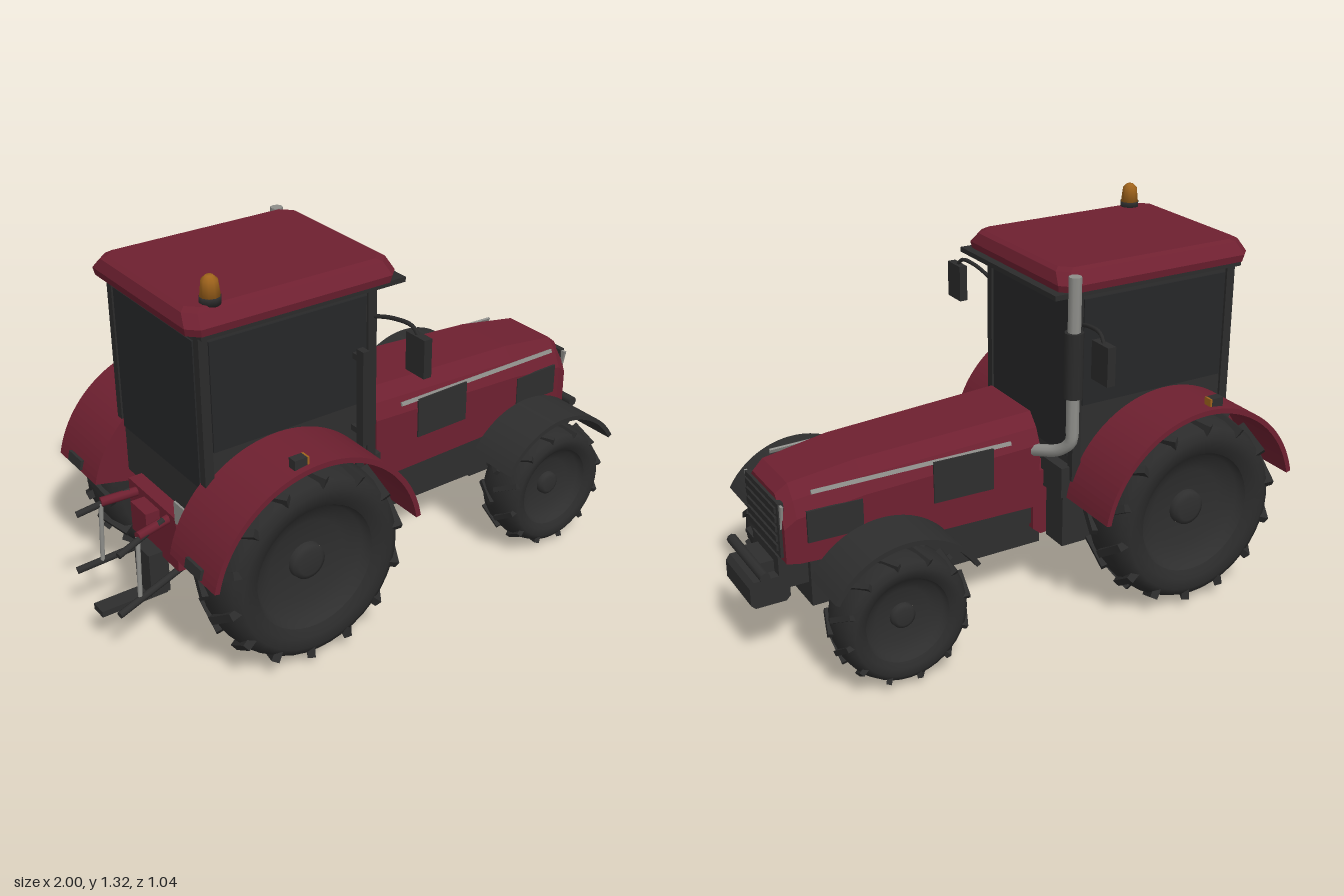
import * as THREE from 'three';

const paint = (name, color) => {
  const m = new THREE.MeshStandardMaterial({ color });
  m.name = name;
  return m;
};
const red = paint('red paint', 0x6e2030);
const rubber = paint('black rubber', 0x2b2b2b);
const trim = paint('dark trim', 0x2e2e2e);
const glass = paint('dark glass', 0x262728);
const steel = paint('pale steel', 0x8e8e8a);
const orange = paint('orange lamp', 0xa0641c);

export function createModel() {
  const model = new THREE.Group();
  model.name = 'tractor';

  const add = (name, geo, mat, parent = model) => {
    const m = new THREE.Mesh(geo, mat);
    m.name = name;
    parent.add(m);
    return m;
  };
  // box from its limits along x, y and z
  const box = (name, mat, x0, x1, y0, y1, z0, z1) => {
    const m = add(name, new THREE.BoxGeometry(x1 - x0, y1 - y0, z1 - z0), mat);
    m.position.set((x0 + x1) / 2, (y0 + y1) / 2, (z0 + z1) / 2);
    return m;
  };
  // the same box on both sides
  const pair = (name, mat, x0, x1, y0, y1, z0, z1) => {
    box(name + 'Left', mat, x0, x1, y0, y1, z0, z1);
    box(name + 'Right', mat, x0, x1, y0, y1, -z1, -z0);
  };
  // round bar between two points
  const bar = (name, mat, a, b, r, sides = 8) => {
    const p = new THREE.Vector3(...a), q = new THREE.Vector3(...b);
    const m = add(name, new THREE.CylinderGeometry(r, r, p.distanceTo(q), sides), mat);
    m.position.copy(p).add(q).multiplyScalar(0.5);
    m.quaternion.setFromUnitVectors(new THREE.Vector3(0, 1, 0), q.sub(p).normalize());
  };
  const tube = (name, mat, pts, r, sides = 8) => add(name, new THREE.TubeGeometry(
    new THREE.CatmullRomCurve3(pts.map(p => new THREE.Vector3(...p))), 14, r, sides), mat);
  // flat-shaded solid through matching rings of points, capped at both ends
  const loft = (rings) => {
    const n = rings[0].length, tris = [];
    for (let i = 0; i + 1 < rings.length; i++) for (let j = 0; j < n; j++) {
      const k = (j + 1) % n, a = rings[i][j], b = rings[i][k], c = rings[i + 1][k], d = rings[i + 1][j];
      tris.push([a, b, c], [a, c, d]);
    }
    const first = rings[0], last = rings[rings.length - 1];
    for (let j = 1; j + 1 < n; j++) tris.push([first[0], first[j + 1], first[j]], [last[0], last[j], last[j + 1]]);
    const mid = new THREE.Vector3(...first[0]);
    const v = (p) => new THREE.Vector3(...p).sub(mid);
    const volume = tris.reduce((s, [a, b, c]) => s + v(a).dot(v(b).cross(v(c))), 0);
    if (volume < 0) tris.forEach(t => t.reverse());
    const g = new THREE.BufferGeometry();
    g.setAttribute('position', new THREE.Float32BufferAttribute(tris.flat(2), 3));
    g.computeVertexNormals();
    return g;
  };
  // extruded side-view shape between two z values
  const slab = (name, mat, shape, z0, z1) => {
    const g = new THREE.ExtrudeGeometry(shape, { depth: z1 - z0, bevelEnabled: false, curveSegments: 24 });
    add(name, g.translate(0, 0, z0), mat);
  };
  const rad = THREE.MathUtils.degToRad;
  const arch = (cx, cy, R, r, a0, a1) => {
    const s = new THREE.Shape();
    s.absarc(cx, cy, R, rad(a0), rad(a1), false);
    s.absarc(cx, cy, r, rad(a1), rad(a0), true);
    return s;
  };

  // bonnet
  const section = ([x, w, t, b]) => {
    const half = [[w, b], [w, t - 0.1], [w - 0.025, t - 0.045], [w - 0.065, t]];
    return [...half.map(([z, y]) => [x, y, z]), ...half.reverse().map(([z, y]) => [x, y, -z])];
  };
  add('bonnet', loft([[-0.02, 0.195, 0.70, 0.37], [0.62, 0.182, 0.67, 0.375],
    [0.85, 0.17, 0.637, 0.38], [0.89, 0.16, 0.605, 0.385]].map(section)), red);
  box('grille', trim, 0.88, 0.9, 0.4, 0.59, -0.14, 0.14);
  for (let i = 0; i < 5; i++) box('grilleSlat', rubber, 0.895, 0.907, 0.42 + i * 0.033, 0.44 + i * 0.033, -0.125, 0.125);
  for (const s of [1, -1]) {
    const lamp = [[0.5, 0.14], [0.585, 0.158], [0.585, 0.125]];
    add('headlight', loft([0.887, 0.896].map(x => lamp.map(([y, z]) => [x, y, z * s]))), steel);
    // side vents and bright strip
    for (const [name, mat, x0, x1, y0, y1, z] of [['sideVent', trim, 0.16, 0.38, 0.48, 0.628, 0.19],
      ['frontVent', trim, 0.63, 0.82, 0.45, 0.56, 0.178], ['sideStrip', steel, 0.09, 0.8, 0.618, 0.632, 0.181]]) {
      const m = box(name, mat, x0, x1, y0, y1, s * z - 0.004, s * z + 0.004);
      m.rotation.y = s * 0.025;
      if (name === 'sideStrip') m.rotation.x = -s * 0.4;
    }
  }

  // chassis, front axle and front weight
  box('chassis', trim, -0.06, 0.8, 0.19, 0.38, -0.13, 0.13);
  pair('engineSkirt', trim, 0, 0.42, 0.3, 0.375, 0.13, 0.175);
  box('frontSupport', trim, 0.7, 0.9, 0.27, 0.39, -0.11, 0.11);
  box('frontAxle', trim, 0.55, 0.66, 0.2, 0.28, -0.3, 0.3);
  box('axleGuard', trim, 0.5, 0.72, 0.15, 0.2, -0.09, 0.09);
  const weight = [[0.865, 0.24], [0.88, 0.225], [0.985, 0.225], [1, 0.24], [1, 0.3], [0.985, 0.32], [0.88, 0.32], [0.865, 0.305]];
  add('frontWeight', loft([-0.11, 0.11].map(z => weight.map(([x, y]) => [x, y, z]))), trim);
  bar('frontBar', trim, [0.96, 0.35, -0.15], [0.96, 0.35, 0.15], 0.018);
  box('frontBarBracket', trim, 0.9, 0.96, 0.31, 0.36, -0.07, 0.07);

  // rear body and running boards
  const body = [[-0.78, 0.28], [-0.05, 0.235], [-0.02, 0.26], [-0.02, 0.48], [-0.78, 0.48]];
  add('rearBody', loft([-0.155, 0.155].map(z => body.map(([x, y]) => [x, y, z]))), red);
  bar('rearAxle', trim, [-0.47, 0.35, -0.35], [-0.47, 0.35, 0.35], 0.07, 16);
  pair('stepBox', trim, -0.2, -0.07, 0.23, 0.43, 0.16, 0.265);
  pair('cabMount', trim, -0.16, -0.06, 0.42, 0.53, 0.14, 0.27);

  // cab, its lower edge following the rear wheel arch
  const cab = new THREE.Shape();
  cab.moveTo(-0.1, 1.15);
  cab.lineTo(-0.73, 1.15);
  cab.absarc(-0.47, 0.35, 0.38, rad(133.2), rad(13.2), true);
  slab('cab', trim, cab, -0.275, 0.275);
  box('cabBase', trim, -0.73, -0.1, 0.45, 0.68, -0.25, 0.25);
  box('windscreen', glass, -0.1, -0.094, 0.56, 1.12, -0.245, 0.245);
  box('rearWindow', glass, -0.736, -0.73, 0.62, 1.12, -0.245, 0.245);
  pair('sideWindow', glass, -0.7, -0.13, 0.75, 1.12, 0.275, 0.281);
  pair('frontPillar', rubber, -0.125, -0.092, 0.48, 1.15, 0.255, 0.284);
  pair('rearPillar', rubber, -0.737, -0.705, 0.64, 1.15, 0.255, 0.284);

  // roof
  const roofRing = (y, ix, iz) => {
    const x0 = -0.78 + ix, x1 = -0.025 - ix, z = 0.32 - iz, c = 0.035;
    return [[x0 + c, z], [x1 - c, z], [x1, z - c], [x1, c - z], [x1 - c, -z], [x0 + c, -z], [x0, c - z], [x0, z - c]]
      .map(([px, pz]) => [px, y, pz]);
  };
  add('roof', loft([roofRing(1.16, 0.005, 0.005), roofRing(1.185, 0, 0), roofRing(1.222, 0.012, 0.035), roofRing(1.232, 0.03, 0.05)]), red);
  box('roofTrim', rubber, -0.74, 0, 1.145, 1.162, -0.31, 0.31);

  // warning beacon
  const spin = (name, mat, pts, x, z) => add(name, new THREE.LatheGeometry(
    pts.map(p => new THREE.Vector2(...p)), 10), mat).position.set(x, 0, z);
  spin('beaconBase', rubber, [[0, 1.225], [0.034, 1.225], [0.034, 1.25], [0, 1.25]], -0.67, 0.25);
  spin('beacon', orange, [[0, 1.25], [0.032, 1.25], [0.026, 1.3], [0.012, 1.314], [0, 1.314]], -0.67, 0.25);

  // exhaust
  bar('exhaustStack', steel, [-0.065, 0.68, -0.322], [-0.065, 1.22, -0.322], 0.022);
  bar('muffler', rubber, [-0.065, 0.81, -0.322], [-0.065, 1.035, -0.322], 0.032, 12);
  tube('exhaustElbow', steel, [[-0.065, 0.7, -0.322], [-0.063, 0.65, -0.318], [-0.045, 0.61, -0.28], [0, 0.58, -0.18]], 0.021);

  // mirrors, hand rail, fenders and lamps
  for (const s of [1, -1]) {
    tube('mirrorArm', rubber, [[-0.1, 1.04, 0.27 * s], [-0.09, 1.065, 0.37 * s], [-0.08, 1.065, 0.45 * s], [-0.075, 1.03, 0.48 * s]], 0.007, 6);
    const a = s > 0 ? (z0, z1) => [z0, z1] : (z0, z1) => [-z1, -z0];
    box('mirror', rubber, -0.09, -0.06, 0.915, 1.045, ...a(0.43, 0.52));
    slab('rearFender', red, arch(-0.47, 0.35, 0.395, 0.377, 10, 168), ...a(0.25, 0.515));
    slab('rearFenderInnerWall', red, arch(-0.47, 0.35, 0.385, 0.17, 5, 168), ...a(0.25, 0.262));
    slab('frontFender', trim, arch(0.605, 0.235, 0.288, 0.272, 30, 150), ...a(0.265, 0.455));
    box('fenderBracket', trim, 0.58, 0.63, 0.27, 0.51, ...a(0.25, 0.27));
    box('markerLamp', trim, -0.55, -0.505, 0.735, 0.77, ...a(0.46, 0.492));
    box('markerLens', orange, -0.505, -0.498, 0.742, 0.77, ...a(0.46, 0.492));
    const tail = box('tailLamp', trim, -0.86, -0.84, 0.44, 0.475, ...a(0.35, 0.44));
    tail.rotation.z = -0.2;
  }
  box('handRail', rubber, -0.19, -0.165, 0.63, 0.965, 0.31, 0.345);
  for (const y of [0.66, 0.92]) box('railStandoff', rubber, -0.185, -0.17, y, y + 0.02, 0.27, 0.32);

  // rear linkage and drawbar
  for (const s of [1, -1]) {
    bar('upperLift', trim, [-0.98, 0.415, 0.145 * s], [-0.8, 0.46, 0.11 * s], 0.011);
    bar('liftArm', red, [-0.9, 0.445, 0.125 * s], [-0.76, 0.455, 0.1 * s], 0.016);
    bar('lowerArm', trim, [-0.995, 0.2, 0.15 * s], [-0.74, 0.25, 0.1 * s], 0.012);
    bar('liftRod', steel, [-0.91, 0.22, 0.13 * s], [-0.9, 0.44, 0.125 * s], 0.008);
  }
  box('topLinkBracket', red, -0.83, -0.77, 0.4, 0.46, -0.05, 0.05);
  box('drawbar', trim, -1, -0.76, 0.12, 0.142, -0.03, 0.03);
  box('drawbarBracket', trim, -0.83, -0.76, 0.14, 0.3, -0.05, 0.05);
  box('rearPlate', steel, -0.785, -0.778, 0.47, 0.55, 0.16, 0.24);

  // wheels: tyre and dished rim in one turned profile, with slanted tread bars
  const wheel = (name, x, z, R, w, lugs) => {
    const g = new THREE.Group(), h = w / 2;
    g.name = name;
    g.position.set(x, R, z);
    g.rotation.y = z < 0 ? Math.PI : 0;
    model.add(g);
    const turned = (part, pts, mat) => add(part, new THREE.LatheGeometry(
      pts.map(([r, y]) => new THREE.Vector2(r * R, y * h)), 40).rotateX(Math.PI / 2), mat, g);
    turned('tyre', [[0.3, -0.8], [0.62, -0.85], [0.8, -0.98], [0.88, -0.85], [0.935, -0.5], [0.955, 0],
      [0.935, 0.5], [0.88, 0.85], [0.8, 0.98], [0.7, 0.94], [0.62, 0.8]], rubber);
    turned('rim', [[0.62, 0.8], [0.57, 0.55], [0.4, 0.35], [0.18, 0.3]], trim);
    turned('hub', [[0.18, 0.28], [0.17, 0.48], [0.12, 0.55], [0, 0.55]], trim);
    turned('wheelBack', [[0, -0.6], [0.3, -0.8]], trim);
    for (let i = 0; i < lugs * 2; i++) {
      const s = i % 2 ? 1 : -1, pivot = new THREE.Group();
      pivot.rotation.z = i * Math.PI / lugs;
      g.add(pivot);
      const lug = add('treadBar', new THREE.BoxGeometry(R * 0.13, R * 0.075, h * 1.05), rubber, pivot);
      lug.position.set(R * 0.905, 0, s * h * 0.48);
      lug.rotation.set(s * 0.55, -s * 0.25, 0);
    }
  };
  for (const s of [1, -1]) {
    wheel('rearWheel', -0.47, 0.386 * s, 0.352, 0.235, 14);
    wheel('frontWheel', 0.605, 0.36 * s, 0.235, 0.18, 12);
  }
  return model;
}
